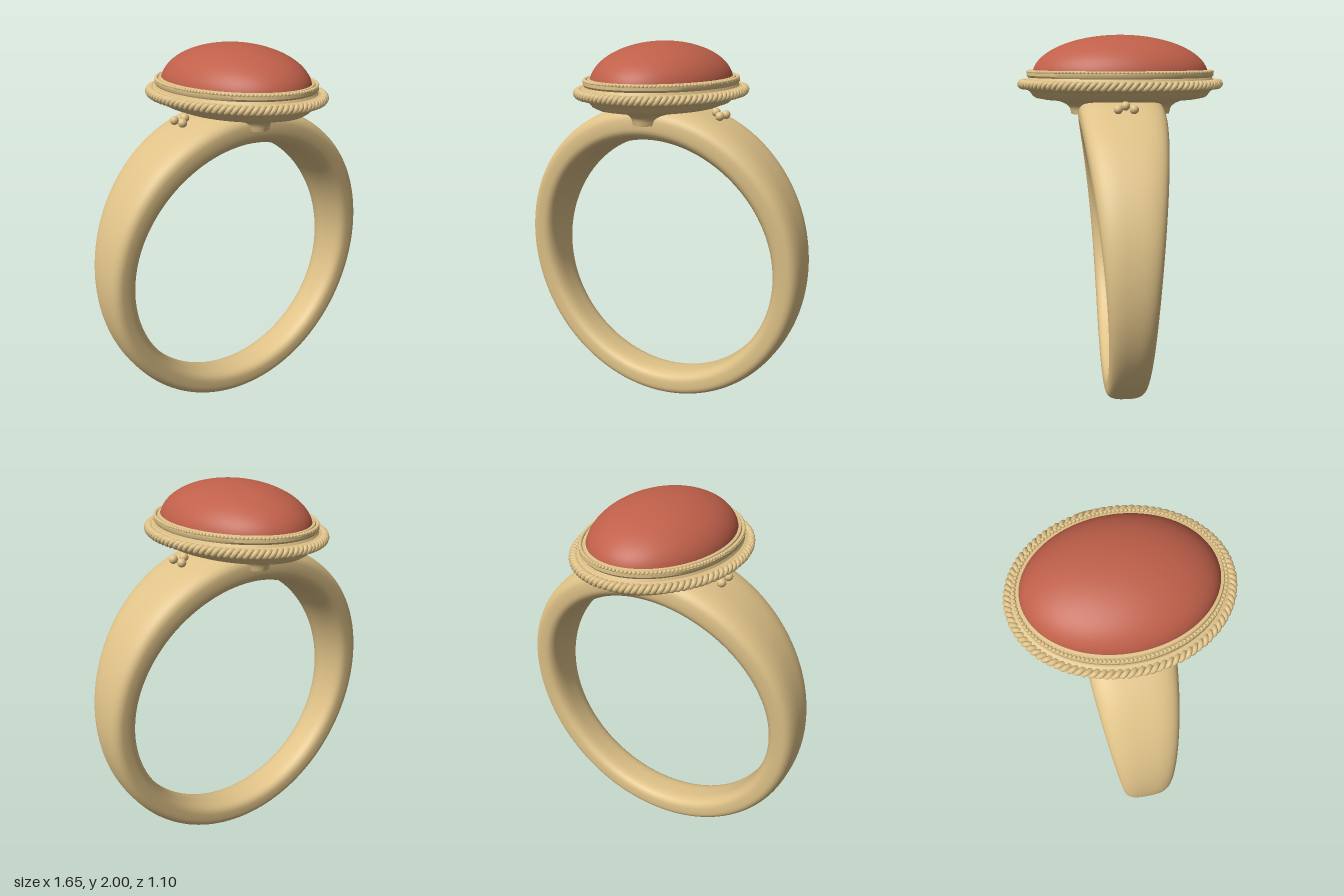
import * as THREE from 'three';
import { mergeGeometries, toCreasedNormals } from 'three/addons/utils/BufferGeometryUtils.js';

const gold = new THREE.MeshStandardMaterial({ color: 0xdfc288 });
const red = new THREE.MeshStandardMaterial({ color: 0xc0604a });
const TAU = Math.PI * 2;

// Surface closed around u; v is closed too when wrapV is set
function loft(nu, nv, point, wrapV) {
  const pos = [], index = [], rows = wrapV ? nv : nv + 1;
  for (let i = 0; i < nu; i++)
    for (let j = 0; j < rows; j++) pos.push(...point(i / nu, j / nv));
  const id = (i, j) => (i % nu) * rows + (j % rows);
  for (let i = 0; i < nu; i++) {
    for (let j = 0; j < nv; j++) {
      const a = id(i, j), b = id(i + 1, j), c = id(i + 1, j + 1), d = id(i, j + 1);
      index.push(a, d, b, b, d, c);
    }
  }
  const g = new THREE.BufferGeometry();
  g.setAttribute('position', new THREE.Float32BufferAttribute(pos, 3));
  g.setIndex(index);
  g.computeVertexNormals();
  return g;
}

// Oval version of a lathe: profile points are [half width x, half length z, y]
function ovalLathe(profile, segments) {
  return loft(segments, profile.length - 1, (u, v) => {
    const [a, b, y] = profile[Math.round(v * (profile.length - 1))];
    return [a * Math.cos(u * TAU), y, b * Math.sin(u * TAU)];
  }, false);
}

// One strand of the twisted rope around an oval
class Strand extends THREE.Curve {
  constructor(phase) {
    super();
    this.phase = phase;
  }
  getPoint(t, target = new THREE.Vector3()) {
    const a = 0.413, b = 0.525, s = 0.0125, w = t * TAU;
    const n = new THREE.Vector2(b * Math.cos(w), a * Math.sin(w)).normalize();
    const phi = this.phase - 48 * w, out = s * Math.cos(phi);
    return target.set(a * Math.cos(w) + n.x * out, 1.745 + s * Math.sin(phi), b * Math.sin(w) + n.y * out);
  }
  // Constant-speed parameter is not needed here
  getPointAt(t, target) { return this.getPoint(t, target); }
  getTangentAt(t, target) { return this.getTangent(t, target); }
}

export function createModel() {
  const ring = new THREE.Group();
  ring.name = 'ring';
  const add = (name, geometry, material = gold) => {
    const mesh = new THREE.Mesh(geometry, material);
    mesh.name = name;
    ring.add(mesh);
    return mesh;
  };

  // Band: rounded section growing wider and thicker towards the top
  const inner = 0.675, centreY = 0.815;
  const power = (x) => Math.sign(x) * Math.pow(Math.abs(x), 2 / 3);
  add('band', loft(160, 48, (u, v) => {
    const grow = Math.pow((1 + Math.cos(u * TAU)) / 2, 2.3);
    const thick = 0.14 + 0.055 * grow, half = 0.105 + 0.123 * grow;
    const r = inner + thick / 2 + (thick / 2) * power(Math.cos(v * TAU));
    return [r * Math.sin(u * TAU), centreY + r * Math.cos(u * TAU), half * power(Math.sin(v * TAU))];
  }, true));

  // Setting: flared foot, plate and bezel wall
  const profile = [[0, 0, 1.585], [0.11, 0.265, 1.585]];
  for (let i = 0; i <= 8; i++) {
    const t = (i / 8) * Math.PI / 2;
    const k = 1 - Math.cos(t);
    profile.push([0.115 + 0.175 * k, 0.27 + 0.14 * k, 1.605 + 0.06 * Math.sin(t)]);
  }
  profile.push(
    [0.305, 0.455, 1.673], [0.335, 0.468, 1.682], [0.355, 0.485, 1.705], [0.375, 0.503, 1.718],
    [0.405, 0.517, 1.725], [0.405, 0.517, 1.762], [0.385, 0.498, 1.768],
    [0.38, 0.492, 1.78], [0.386, 0.5, 1.79], [0.386, 0.5, 1.805], [0.366, 0.484, 1.805],
    [0.362, 0.48, 1.816], [0.348, 0.468, 1.818], [0.335, 0.455, 1.8], [0, 0, 1.8]
  );
  add('setting', toCreasedNormals(ovalLathe(profile, 120), 0.6));

  // Twisted rope edge
  for (let i = 0; i < 2; i++) {
    add('ropeStrand', new THREE.TubeGeometry(new Strand(i * Math.PI), 768, 0.0135, 8, true));
  }

  // Row of tiny beads on the rim, evenly spaced along the oval
  const path = new THREE.EllipseCurve(0, 0, 0.376, 0.492);
  path.arcLengthDivisions = 800;
  const count = 140, beads = [];
  for (let i = 0; i < count; i++) {
    const p = path.getPointAt(i / count);
    beads.push(new THREE.SphereGeometry(0.0095, 8, 6).translate(p.x, 1.809, p.y));
  }
  add('rimBeads', mergeGeometries(beads));

  // Domed oval stone
  const stone = new THREE.SphereGeometry(1, 72, 28, 0, TAU, 0, Math.PI / 2);
  add('stone', stone.scale(0.35, 0.21, 0.47).translate(0, 1.79, 0), red);

  // Three beads on each shoulder
  for (const side of [-1, 1]) {
    for (const [x, y, z] of [[0.31, 1.647, 0], [0.348, 1.632, 0.04], [0.348, 1.632, -0.04]]) {
      add('shoulderBead', new THREE.SphereGeometry(0.023, 20, 14)).position.set(side * x, y, z);
    }
  }
  return ring;
}
